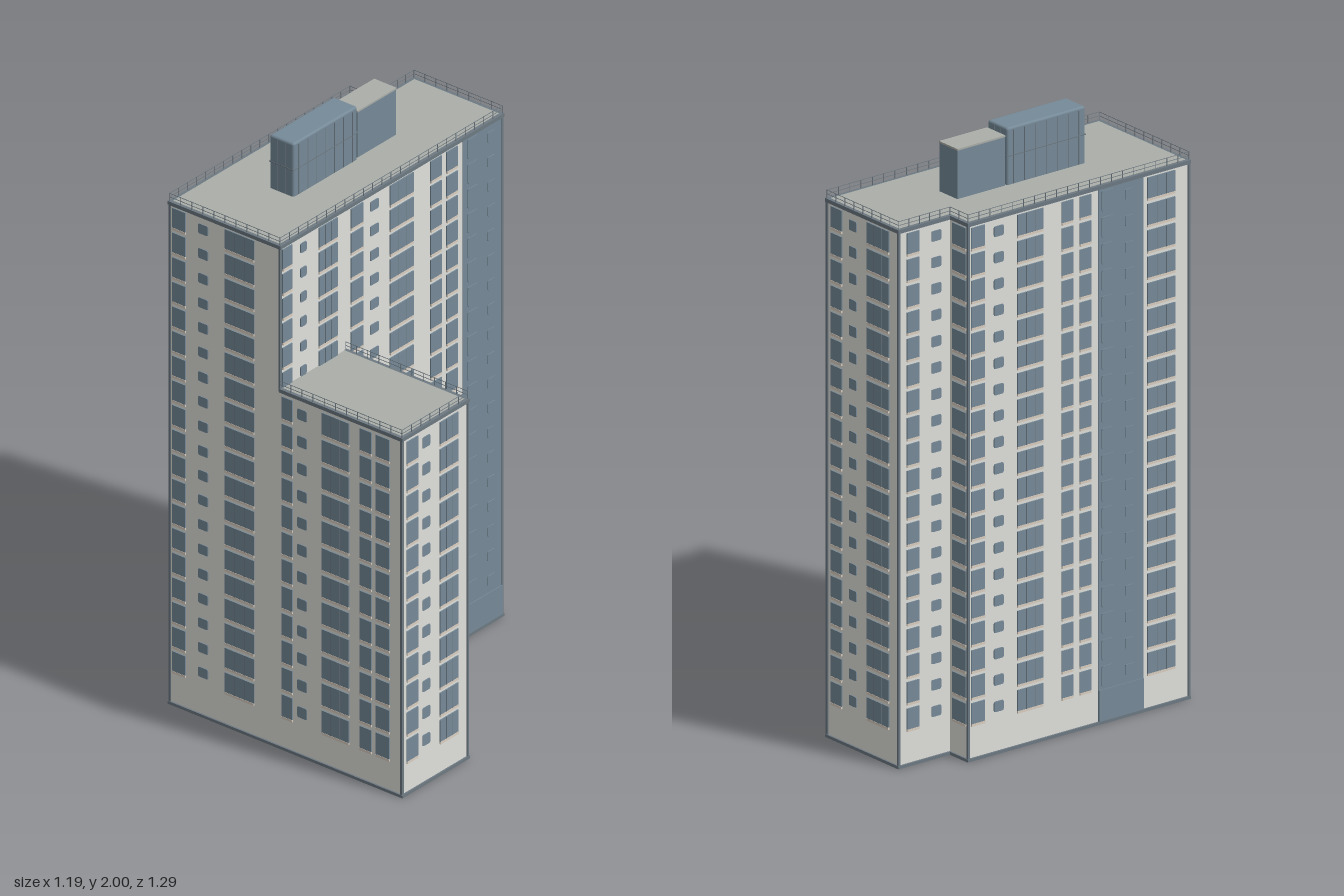
import * as THREE from 'three';
import { mergeGeometries } from 'three/addons/utils/BufferGeometryUtils.js';
import { RoundedBoxGeometry } from 'three/addons/geometries/RoundedBoxGeometry.js';

const mat = (name, color) => Object.assign(new THREE.MeshStandardMaterial({ color }), { name });
const WALL = mat('pale concrete', 0xe0e0dc);
const ROOF = mat('roof grey', 0xabaea8);
const GLASS = mat('blue glass', 0x768a98);
const TRIM = mat('slate trim', 0x6d7982);
const SILL = mat('beige sill', 0xdacebf);

const INSET = 0.006; // walls sit slightly inside the coping line
const MAIN = { top: 1.8, floors: 19, first: 0.159, step: 0.0887, high: 0.07 };
const WING = { top: 1.285, floors: 12, first: 0.159, step: 0.0975, high: 0.078 };

// Plan outlines [x, z], shrunk by d
const mainPlan = (d) => [[-0.428 + d, -0.455 + d], [0.471 - d, -0.455 + d], [0.471 - d, -0.365 + d],
  [0.678 - d, -0.365 + d], [0.678 - d, 0.004 - d], [-0.428 + d, 0.004 - d]];
const wingPlan = (d) => [[-0.428 + d, 0.004 - INSET], [-0.094 - d, 0.004 - INSET],
  [-0.094 - d, 0.5 - d], [-0.428 + d, 0.5 - d]];

function mesh(name, geo, material) {
  const m = new THREE.Mesh(geo, material);
  m.name = name;
  return m;
}

function box(w, h, d, x, y, z) {
  return new THREE.BoxGeometry(w, h, d).translate(x, y, z);
}

// Horizontal slab from a plan outline, optionally with a hole
function slab(plan, y0, y1, hole) {
  const pts = (p) => p.map(([x, z]) => new THREE.Vector2(x, -z));
  const shape = new THREE.Shape(pts(plan));
  if (hole) shape.holes.push(new THREE.Path(pts(hole)));
  return new THREE.ExtrudeGeometry(shape, { depth: y1 - y0, bevelEnabled: false })
    .rotateX(-Math.PI / 2).translate(0, y0, 0);
}

// Upright pane with rounded corners, standing out from the wall plane
function pane(w, h, depth, x, y, z) {
  const r = 0.005, a = w / 2, b = h / 2;
  const s = new THREE.Shape();
  s.moveTo(r - a, -b).lineTo(a - r, -b).quadraticCurveTo(a, -b, a, r - b)
    .lineTo(a, b - r).quadraticCurveTo(a, b, a - r, b)
    .lineTo(r - a, b).quadraticCurveTo(-a, b, -a, b - r)
    .lineTo(-a, r - b).quadraticCurveTo(-a, -b, r - a, -b);
  return new THREE.ExtrudeGeometry(s, { depth, bevelEnabled: false, curveSegments: 2 }).translate(x, y, z);
}

// Facade directions: turn about y, and how the plan coordinate maps along the wall
const SIDES = {
  front: { turn: 0, sign: 1, axis: 'z', out: 1 },
  back: { turn: Math.PI, sign: -1, axis: 'z', out: -1 },
  left: { turn: Math.PI / 2, sign: -1, axis: 'x', out: 1 },
  right: { turn: -Math.PI / 2, sign: 1, axis: 'x', out: -1 },
};

// Columns are [from, to, kind]: w window, s small window, t wide window,
// p panel window and q small window on the glazed strip, g glazed strip
function facade(name, side, at, block, columns, hiddenBelow = 0) {
  const s = SIDES[side];
  const g = new THREE.Group();
  g.name = name;
  g.rotation.y = s.turn;
  g.position[s.axis] = at - s.out * INSET;
  const parts = { glass: [], bars: [], sill: [] };
  for (const [from, to, kind] of columns) {
    const w = Math.abs(to - from), x = s.sign * (from + to) / 2;
    if (kind === 'g') {
      // strip with a slightly prouder entrance storey
      parts.glass.push(box(w, block.top - 0.01, 0.003, x, (block.top + 0.01) / 2, 0.0015));
      parts.glass.push(box(w, 0.105, 0.006, x, 0.0625, 0.003));
      continue;
    }
    const onStrip = kind === 'p' || kind === 'q';
    const small = kind === 's' || kind === 'q';
    const h = small ? block.high * 0.5 : block.high;
    for (let i = 0; i < block.floors; i++) {
      const y = block.first + i * block.step;
      if (x < -0.094 && y < hiddenBelow) continue;
      if (small || onStrip) {
        parts.glass.push(pane(w, h, 0.003, x, y, onStrip ? 0.003 : 0));
        continue;
      }
      parts.glass.push(box(w, h, 0.004, x, y, 0.002));
      if (kind === 't') {
        for (const b of [-0.17, 0.17]) parts.bars.push(box(0.002, h, 0.002, x + b * w, y, 0.004));
      }
      parts.sill.push(box(w, 0.008, 0.005, x, y - h / 2 - 0.004, 0.0025));
    }
  }
  const mats = { glass: GLASS, bars: TRIM, sill: SILL };
  for (const k in parts) {
    // mix of indexed and plain geometries, so drop the indices before merging
    const geos = parts[k].map((p) => (p.index ? p.toNonIndexed() : p));
    if (geos.length) g.add(mesh(name + ' ' + k, mergeGeometries(geos), mats[k]));
  }
  return g;
}

// Thin posts and two rails along an open or closed path
function railing(name, points, y, closed) {
  const geos = [];
  const n = points.length - (closed ? 0 : 1);
  for (let i = 0; i < n; i++) {
    const [ax, az] = points[i], [bx, bz] = points[(i + 1) % points.length];
    const len = Math.hypot(bx - ax, bz - az), cx = (ax + bx) / 2, cz = (az + bz) / 2;
    const alongX = Math.abs(bx - ax) > Math.abs(bz - az);
    for (const h of [0.015, 0.028]) {
      geos.push(box(alongX ? len : 0.0015, 0.0015, alongX ? 0.0015 : len, cx, y + h, cz));
    }
    const posts = Math.max(2, Math.round(len / 0.045));
    for (let k = 0; k < posts; k++) {
      const t = k / posts;
      geos.push(box(0.002, 0.029, 0.002, ax + (bx - ax) * t, y + 0.0145, az + (bz - az) * t));
    }
  }
  return mesh(name, mergeGeometries(geos), TRIM);
}

function block(name, plan, spec) {
  const g = new THREE.Group();
  g.name = name;
  g.add(mesh(name + ' plinth', slab(plan(0), 0, 0.01), TRIM));
  g.add(mesh(name + ' walls', slab(plan(INSET), 0.01, spec.top), WALL));
  g.add(mesh(name + ' roof', slab(plan(0.008), spec.top, spec.top + 0.009), ROOF));
  g.add(mesh(name + ' coping', slab(plan(0), spec.top - 0.002, spec.top + 0.011, plan(0.012)), TRIM));
  return g;
}

export function createModel() {
  const model = new THREE.Group();
  model.name = 'apartment tower';
  const tower = new THREE.Group();
  tower.name = 'turned building';
  tower.rotation.y = 0.504;
  model.add(tower);

  // Wall blocks and roofs
  tower.add(block('main block', mainPlan, MAIN), block('wing', wingPlan, WING));
  tower.add(railing('main railing', mainPlan(0.005), MAIN.top + 0.01, true));
  const w = wingPlan(0.005);
  tower.add(railing('wing railing', [w[1], w[2], w[3], w[0]], WING.top + 0.01, false));

  // Trims on the outer corners
  const posts = [];
  const post = ([x, z], y0, y1) => posts.push(box(0.008, y1 - y0, 0.008, x, (y0 + y1) / 2, z));
  mainPlan(INSET).forEach((p, i) => { if (i !== 2) post(p, i === 5 ? WING.top : 0, MAIN.top); });
  wingPlan(INSET).slice(2).forEach((p) => post(p, 0, WING.top));
  tower.add(mesh('corner trims', mergeGeometries(posts), TRIM));

  // Main block facades
  tower.add(facade('main front windows', 'front', 0.004, MAIN, [
    [-0.412, -0.366, 'w'], [-0.323, -0.294, 's'], [-0.233, -0.142, 't'], [-0.075, -0.015, 'w'],
    [0.021, 0.062, 's'], [0.118, 0.233, 't'], [0.318, 0.372, 'w'], [0.397, 0.451, 'w'],
    [0.478, 0.67, 'g'], [0.499, 0.547, 'p'], [0.597, 0.633, 'q']], 1.29));
  tower.add(facade('main back windows', 'back', -0.455, MAIN, [
    [0.4, 0.454, 'w'], [0.324, 0.362, 's'], [0.165, 0.268, 't'], [0.044, 0.09, 'w'],
    [-0.028, 0.017, 'w'], [-0.238, -0.058, 'g'], [-0.116, -0.07, 'p'], [-0.2, -0.164, 'q'],
    [-0.366, -0.256, 't']]));
  tower.add(facade('step back windows', 'back', -0.365, MAIN, [[0.592, 0.64, 'w'], [0.503, 0.541, 's']]));
  tower.add(facade('step side windows', 'left', 0.471, MAIN, [[-0.441, -0.374, 'w']]));
  tower.add(facade('main left windows', 'left', 0.678, MAIN, [
    [-0.076, -0.022, 'w'], [-0.149, -0.112, 's'], [-0.312, -0.203, 't']]));
  tower.add(facade('main right windows', 'right', -0.428, MAIN, [
    [-0.438, -0.385, 'w'], [-0.333, -0.294, 's'], [-0.224, -0.105, 't']]));

  // Wing facades
  tower.add(facade('wing front windows', 'front', 0.5, WING, [
    [-0.401, -0.346, 'w'], [-0.322, -0.286, 's'], [-0.238, -0.147, 't']]));
  tower.add(facade('wing left windows', 'left', -0.094, WING, [
    [0.432, 0.482, 'w'], [0.352, 0.394, 's'], [0.213, 0.303, 't'], [0.085, 0.142, 'w'], [0.014, 0.062, 'w']]));
  tower.add(facade('wing right windows', 'right', -0.428, WING, [
    [0.008, 0.05, 'w'], [0.07, 0.108, 's'], [0.17, 0.28, 't'], [0.324, 0.372, 'w'], [0.39, 0.445, 'w']]));

  // Glazed rooftop room with mullions
  const room = new THREE.Group();
  room.name = 'rooftop room';
  room.position.set(0.002, 0, -0.2155);
  room.add(mesh('rooftop room glass', new RoundedBoxGeometry(0.316, 0.2, 0.098, 2, 0.008).translate(0, 1.9, 0), GLASS));
  const bars = [box(0.318, 0.003, 0.1, 0, 1.905, 0)];
  for (let i = -3; i <= 3; i++) bars.push(box(0.003, 0.18, 0.1, i * 0.044, 1.9, 0));
  for (const z of [-0.016, 0.016]) bars.push(box(0.318, 0.18, 0.003, 0, 1.9, z));
  room.add(mesh('rooftop room mullions', mergeGeometries(bars), TRIM));
  tower.add(room);

  // Lift housing beside it
  const lift = new THREE.Group();
  lift.name = 'lift housing';
  lift.position.set(0.2625, 0, -0.2175);
  lift.add(mesh('lift housing walls', box(0.191, 0.167, 0.089, 0, 1.8885, 0), GLASS));
  lift.add(mesh('lift housing roof', box(0.193, 0.006, 0.091, 0, 1.975, 0), ROOF));
  tower.add(lift);

  return model;
}
